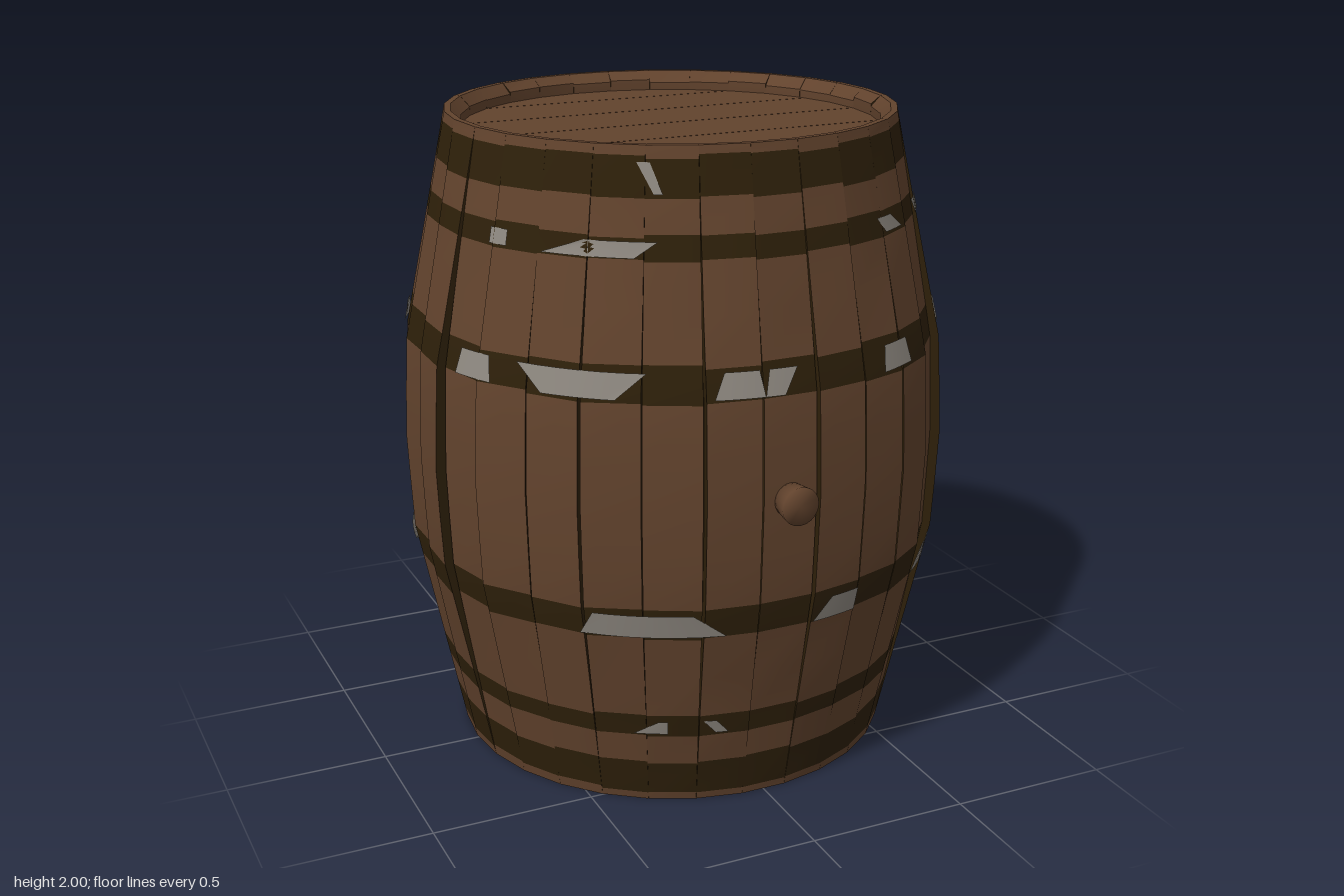
import * as THREE from 'three';
import { toCreasedNormals } from 'three/addons/utils/BufferGeometryUtils.js';

const STAVES = 30, CZ = -0.015;
// lower halves of the dark hoop bands; the upper ones are mirrored about y = 1
const HALF_BANDS = [[0.03, 0.14], [0.24, 0.31], [0.59, 0.69]];
const BANDS = [...HALF_BANDS, ...HALF_BANDS.map(([a, b]) => [2 - b, 2 - a]).reverse()];
const HALF_LEVELS = [0, 0.03, 0.14, 0.24, 0.31, 0.45, 0.59, 0.69, 0.85];
const LEVELS = [...HALF_LEVELS, 1, ...HALF_LEVELS.map(y => 2 - y).reverse()];

// bare metal on each band, bottom band first: degrees round the barrel from the
// front towards +x, as [bottom start, bottom end, top start, top end]
const BARE = [
  [[57, 62, 63, 66]],
  [[-33, -25, -27, -25], [-14, -11, -17, -14], [49, 62, 51, 60], [72, 77, 72, 78]],
  [[-43, -13, -40, -20], [6, 17, 10, 17], [40, 62, 45, 52], [72, 77, 73, 77],
    [134, 155, 146, 161], [206, 211, 206, 210], [230, 250, 245, 263]],
  [[-72, -62, -71, -63], [-50, -35, -56, -29], [-16, -6, -14, -7], [-6, -2, -5, 1], [23, 33, 24, 32],
    [63, 76, 65, 77], [84, 88, 85, 88], [120, 127, 118, 126], [131, 141, 129, 139],
    [146, 163, 144, 158], [178, 185, 177, 186], [195, 197, 194, 197], [204, 211, 204, 211],
    [221, 228, 221, 228], [239, 247, 245, 255]],
  [[-67, -62, -67, -62], [-53, -32, -43, -27], [31, 39, 28, 34], [53, 66, 50, 64],
    [73, 77, 75, 79], [217, 221, 218, 221]],
  [[-28, -26, -32, -29]],
];

let seed = 11;
function rand(amp) {
  seed = (seed * 16807) % 2147483647;
  return (seed / 2147483647 * 2 - 1) * amp;
}

// barrel bulge: outer radius at a height, and how loose the staves are there
function radius(y) {
  const d = Math.abs(y - 1);
  return d > 0.3 ? 0.685 + (1 - d) / 0.7 * 0.137 : 0.822 + (0.3 - d) / 0.3 * 0.012;
}
const loose = y => (radius(y) - 0.685) / 0.149;

function innerRadius(y) {
  const end = 1 - Math.abs(y - 1);
  if (end < 0.01) return 0.665;
  return end < 0.15 ? 0.635 : radius(y) - 0.055;
}

// one stave: rectangular sections stacked up the bulge, with its own twist and shift
function addStave(i, wood, dark) {
  const th = i / STAVES * Math.PI * 2, s = Math.sin(th), c = Math.cos(th);
  const shift = rand(0.01), twist = rand(0.17), narrow = 0.05 + rand(0.05);
  const isBand = (a, b) => BANDS.some(([lo, hi]) => a >= lo - 0.001 && b <= hi + 0.001);
  const rings = LEVELS.map((level, l) => {
    const ends = l === 0 || l === LEVELS.length - 1;
    const y = ends ? level : level + rand(0.007);
    const r = radius(y), k = loose(level), ri = innerRadius(level);
    const slope = Math.tan(Math.PI / STAVES) * (0.997 - narrow * k * k);
    const w = r * slope, wi = ri * slope;
    const out = r + shift * k, tilt = w * twist * k;
    return [[-w, out - tilt], [w, out + tilt], [wi, ri], [-wi, ri]]
      .map(([t, q]) => [s * q + c * t, y, c * q - s * t + CZ]);
  });
  const quad = (list, a, b, cc, d) => list.push(...a, ...b, ...cc, ...a, ...cc, ...d);
  for (let l = 0; l < rings.length - 1; l++) {
    const lo = rings[l], hi = rings[l + 1];
    for (let j = 0; j < 4; j++) {
      const n = (j + 1) % 4;
      const painted = j % 2 === 1 || (j === 0 && isBand(LEVELS[l], LEVELS[l + 1]));
      quad(painted ? dark : wood, lo[j], lo[n], hi[n], hi[j]);
    }
  }
  const [b0, b1, b2, b3] = rings[0];
  quad(wood, b3, b2, b1, b0);
  quad(wood, ...rings[rings.length - 1]);
}

// a slanted plate of bare hoop lying just over the staves
function hoopPlate([b0, b1, t0, t1], lo, hi) {
  const geo = new THREE.PlaneGeometry(1, 1, 6, 1);
  const p = geo.attributes.position;
  for (let i = 0; i < p.count; i++) {
    const u = p.getX(i) + 0.5, v = p.getY(i) + 0.5;
    const y = lo + (hi - lo) * v, r = radius(y) + 0.003 + 0.019 * loose(y);
    const deg = THREE.MathUtils.lerp(b0 + (b1 - b0) * u, t0 + (t1 - t0) * u, v);
    const a = THREE.MathUtils.degToRad(deg);
    p.setXYZ(i, r * Math.sin(a), y, r * Math.cos(a));
  }
  geo.computeVertexNormals();
  return geo;
}

// one plank of a round head, cut from a disc between two z positions
function headPlank(z0, z1, R, thick) {
  const half = z => Math.sqrt(Math.max(R * R - z * z, 0));
  const N = 10, pts = [];
  for (let i = 0; i <= N; i++) {
    const z = z0 + (z1 - z0) * i / N;
    pts.push(new THREE.Vector2(half(z), -z));
  }
  for (let i = N; i >= 0; i--) {
    const z = z0 + (z1 - z0) * i / N;
    pts.push(new THREE.Vector2(-half(z), -z));
  }
  const geo = new THREE.ExtrudeGeometry(new THREE.Shape(pts), { depth: thick, bevelEnabled: false });
  return geo.rotateX(-Math.PI / 2);
}

export function createModel() {
  const group = new THREE.Group();
  const material = (name, color) => {
    const m = new THREE.MeshStandardMaterial({ color });
    m.name = name;
    return m;
  };
  const wood = material('brown wood', 0x62432d);
  const dark = material('dark stained wood', 0x2e200a);
  const metal = material('grey metal', 0x8e8880);
  metal.side = THREE.DoubleSide;
  const add = (name, geo, mat, parent = group) => {
    const mesh = new THREE.Mesh(geo, mat);
    mesh.name = name;
    parent.add(mesh);
    return mesh;
  };

  // staves with dark bands and dark joints
  const woodPos = [], darkPos = [];
  for (let i = 0; i < STAVES; i++) addStave(i, woodPos, darkPos);
  let staves = new THREE.BufferGeometry();
  staves.setAttribute('position', new THREE.Float32BufferAttribute([...woodPos, ...darkPos], 3));
  staves = toCreasedNormals(staves, 0.5);
  staves.clearGroups();
  staves.addGroup(0, woodPos.length / 3, 0);
  staves.addGroup(woodPos.length / 3, darkPos.length / 3, 1);
  add('staves', staves, [wood, dark]);

  // dark lining behind the gaps between staves
  const lining = [0.14, 0.3, 0.5, 0.7, 1, 1.3, 1.5, 1.7, 1.86]
    .map(y => new THREE.Vector2(radius(y) - 0.035, y));
  add('lining', new THREE.LatheGeometry(lining, STAVES), dark).position.z = CZ;

  // bare metal showing along the hoops
  const hoops = new THREE.Group();
  hoops.name = 'hoops';
  hoops.position.z = CZ;
  group.add(hoops);
  BANDS.forEach(([lo, hi], b) => {
    for (const patch of BARE[b]) add('hoopPlate', hoopPlate(patch, lo + 0.01, hi - 0.015), metal, hoops);
  });

  // planked heads, recessed at both ends
  const R = 0.65, GAP = 0.0015;
  const cuts = [-R, -0.475, -0.24, -0.005, 0.225, 0.455, R];
  for (const [name, y] of [['bottomHead', 0.06], ['topHead', 1.9]]) {
    const head = new THREE.Group();
    head.name = name;
    head.position.set(0, y, CZ);
    for (let i = 0; i < cuts.length - 1; i++)
      add('headPlank', headPlank(cuts[i] + GAP, cuts[i + 1] - GAP, R, 0.04), wood, head);
    group.add(head);
  }

  // bung on the front, softly shaded
  const bung = new THREE.CylinderGeometry(0.058, 0.05, 0.07, 20).rotateX(Math.PI / 2);
  add('bung', toCreasedNormals(bung, Math.PI), wood).position.set(0, 1, 0.835);

  return group;
}
